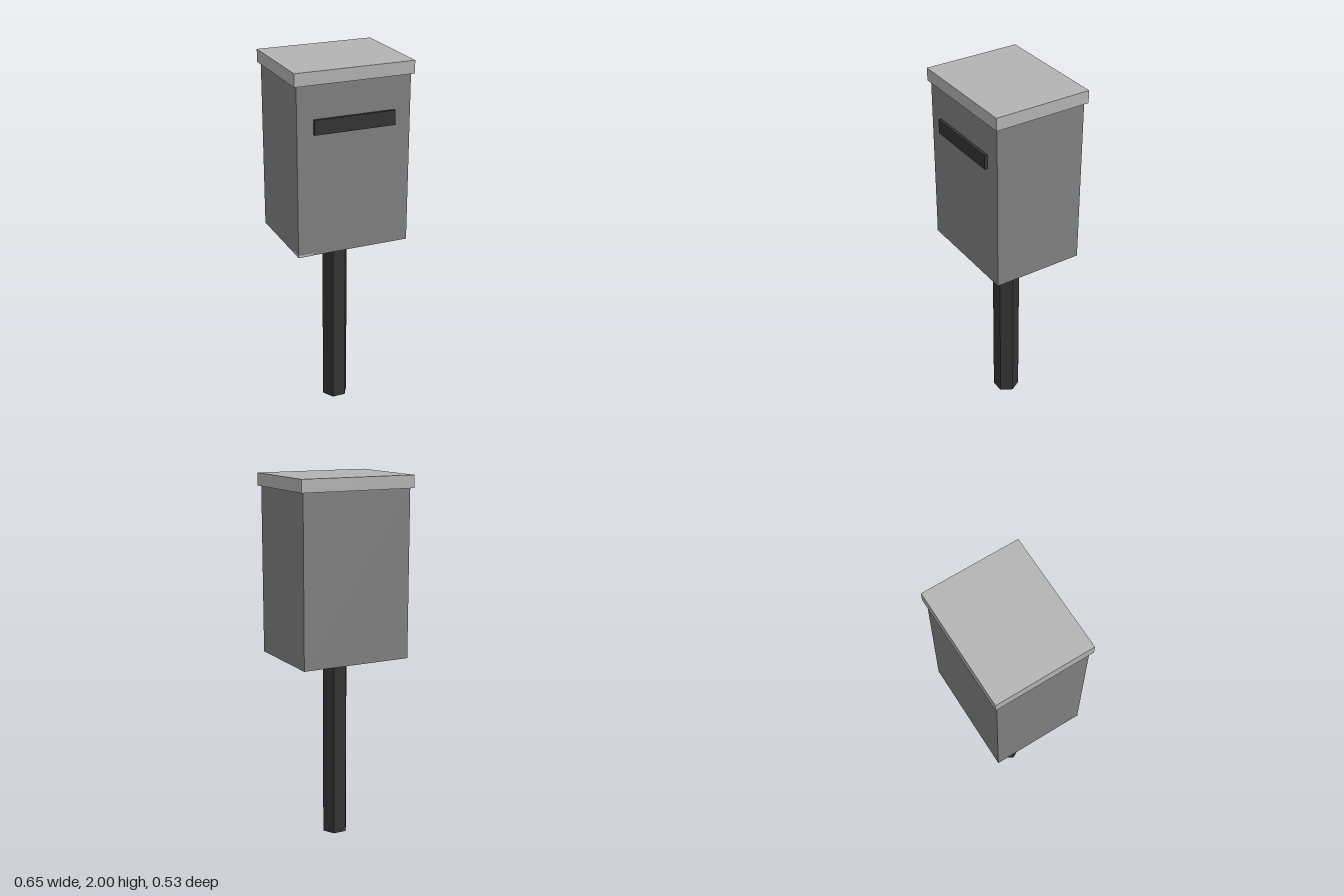
import * as THREE from 'three';

const material = (name, color) => {
  const m = new THREE.MeshStandardMaterial({ color });
  m.name = name;
  return m;
};

export function createModel() {
  const lightGrey = material('lightGrey', 0xb3b3b3);
  const midGrey = material('midGrey', 0x808080);
  const charcoal = material('charcoal', 0x333333);

  const group = new THREE.Group();
  group.name = 'postMountedMailbox';

  const add = (name, geometry, mat, x, y, z) => {
    const mesh = new THREE.Mesh(geometry, mat);
    mesh.name = name;
    mesh.position.set(x, y, z);
    group.add(mesh);
    return mesh;
  };
  // Box given by its bottom and top heights
  const addBox = (name, mat, width, bottom, top, depth, z) =>
    add(name, new THREE.BoxGeometry(width, top - bottom, depth), mat, 0, (bottom + top) / 2, z);

  // Hexagonal post, with two corners on the x axis
  const post = new THREE.CylinderGeometry(0.073, 0.073, 1.03, 6, 1, false, Math.PI / 6).toNonIndexed();
  post.computeVertexNormals();
  add('post', post, charcoal, 0, 0.515, 0);

  // Box body and overhanging lid
  addBox('body', midGrey, 0.62, 1.022, 1.94, 0.504, -0.001);
  addBox('lid', lightGrey, 0.65, 1.932, 2, 0.532, -0.002);

  // Raised mail slot on the front
  addBox('mailSlot', charcoal, 0.442, 1.677, 1.755, 0.027, 0.2535);

  // Small pale corner patch under the front edge
  const corner = new THREE.Shape([
    new THREE.Vector2(0, 0),
    new THREE.Vector2(0.075, 0),
    new THREE.Vector2(0, 0.08),
  ]);
  const patch = new THREE.ExtrudeGeometry(corner, { depth: 0.015, bevelEnabled: false });
  patch.rotateX(Math.PI / 2).translate(0, 0.015, 0).rotateY(Math.PI / 2);
  add('cornerPatch', patch, lightGrey, -0.3105, 1.0215, 0.2525);

  return group;
}
